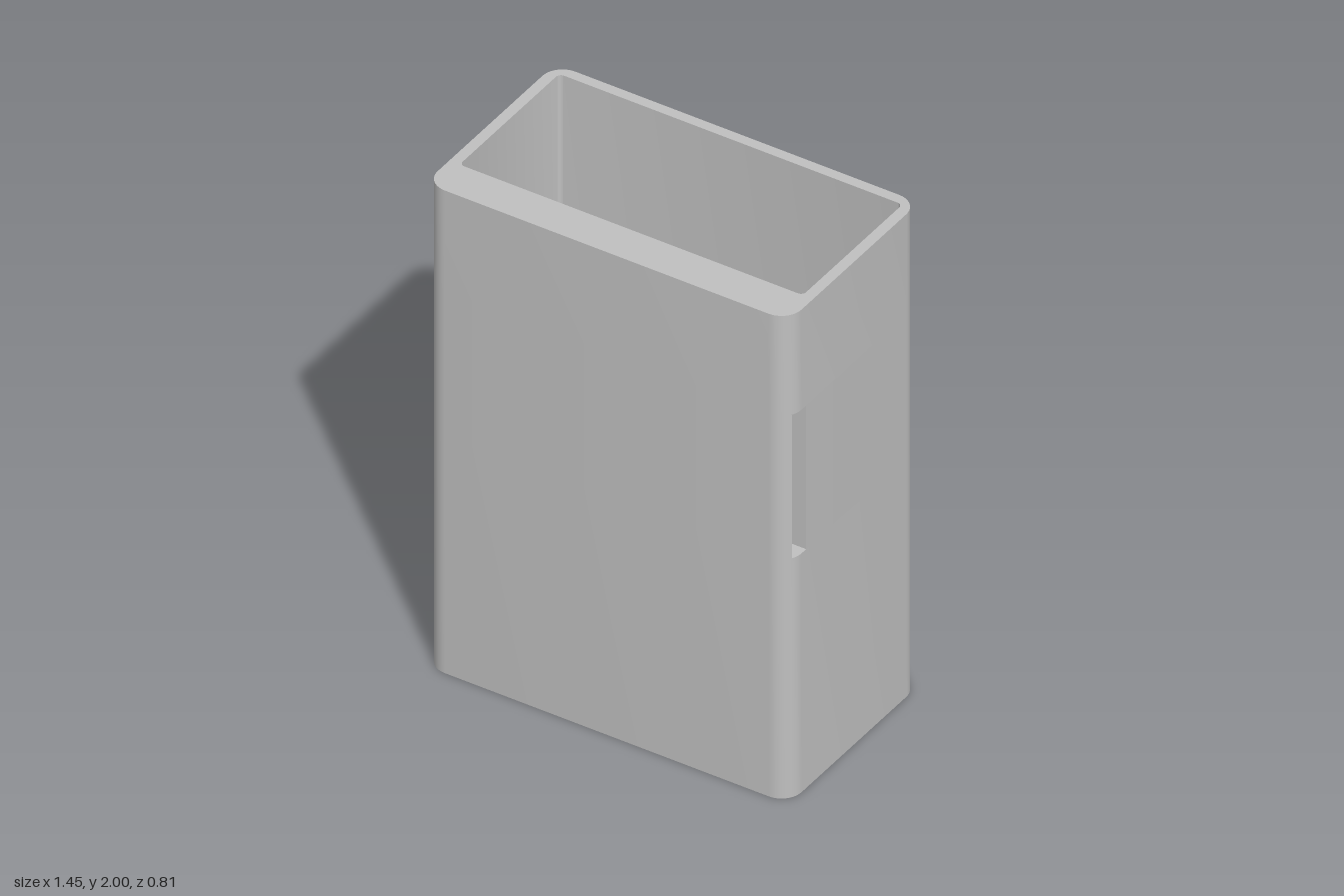
import * as THREE from 'three';
import { mergeGeometries, toCreasedNormals } from 'three/addons/utils/BufferGeometryUtils.js';

const H = 2, FLOOR = 0.04;
const OUTER = { w: 0.726, back: -0.403, front: 0.403, r: 0.08 };
const INNER = { w: 0.685, back: -0.363, front: 0.252, r: 0.02 };
const SLOT = { back: 0.295, front: 0.365, y0: 0.99, y1: 1.585 };

// Outline of a rounded rectangle, cut to the depth range z0..z1
function outline({ w, back, front, r }, z0 = back, z1 = front) {
  const half = (z) => {
    const d = Math.max(0, z - (front - r), back + r - z);
    return w - r + Math.sqrt(Math.max(0, r * r - d * d));
  };
  const zs = [];
  for (let i = 0; i <= 10; i++) {
    const a = (i / 10) * Math.PI / 2;
    zs.push(back + r - r * Math.cos(a), front - r + r * Math.sin(a));
  }
  const inside = zs.filter((z) => z > z0 + 1e-5 && z < z1 - 1e-5).sort((a, b) => a - b);
  const side = [z0, ...inside, z1].map((z) => new THREE.Vector2(half(z), -z));
  const mirrored = side.map((p) => new THREE.Vector2(-p.x, p.y)).reverse();
  return new THREE.Shape([...side, ...mirrored]);
}

// Lay a piece flat at height y; mirroring the symmetric piece turns its faces over
function place(geometry, y, flip) {
  const g = geometry.index ? geometry.toNonIndexed() : geometry;
  g.rotateX(-Math.PI / 2).translate(0, y, 0);
  if (flip) g.scale(-1, 1, 1);
  g.clearGroups();
  return g;
}

const cap = (shape, y, flip) => place(new THREE.ShapeGeometry(shape), y, flip);

// Upright walls only, without end caps
function walls(shape, y0, y1, flip) {
  const g = new THREE.ExtrudeGeometry(shape, { depth: y1 - y0, bevelEnabled: false });
  const sides = g.groups.find((s) => s.materialIndex === 1);
  for (const name of ['position', 'normal', 'uv']) {
    const a = g.attributes[name], n = a.itemSize;
    const part = a.array.slice(sides.start * n, (sides.start + sides.count) * n);
    g.setAttribute(name, new THREE.BufferAttribute(part, n));
  }
  return place(g, y0, flip);
}

export function createModel() {
  const group = new THREE.Group();
  group.name = 'slottedSleeve';
  const grey = new THREE.MeshStandardMaterial({ color: 0xc0c0c0 });
  grey.name = 'grey';

  const outer = outline(OUTER), inner = outline(INNER);
  const behindSlot = outline(OUTER, OUTER.back, SLOT.back);
  const aheadOfSlot = outline(OUTER, SLOT.front, OUTER.front);
  const slot = outline(OUTER, SLOT.back, SLOT.front);
  const rim = outline(OUTER);
  rim.holes.push(inner);

  const add = (name, pieces) => {
    const mesh = new THREE.Mesh(toCreasedNormals(mergeGeometries(pieces), 0.6), grey);
    mesh.name = name;
    group.add(mesh);
  };

  // Outer shell, split into layers around the slot that runs from side to side
  add('shell', [
    walls(outer, 0, SLOT.y0),
    walls(behindSlot, SLOT.y0, SLOT.y1),
    walls(aheadOfSlot, SLOT.y0, SLOT.y1),
    walls(outer, SLOT.y1, H),
    cap(outer, 0, true),
    cap(rim, H),
  ]);
  // Floor and ceiling of the slot
  add('slotEnds', [cap(slot, SLOT.y0), cap(slot, SLOT.y1, true)]);
  // Open pocket
  add('pocket', [walls(inner, FLOOR, H, true), cap(inner, FLOOR)]);

  return group;
}
